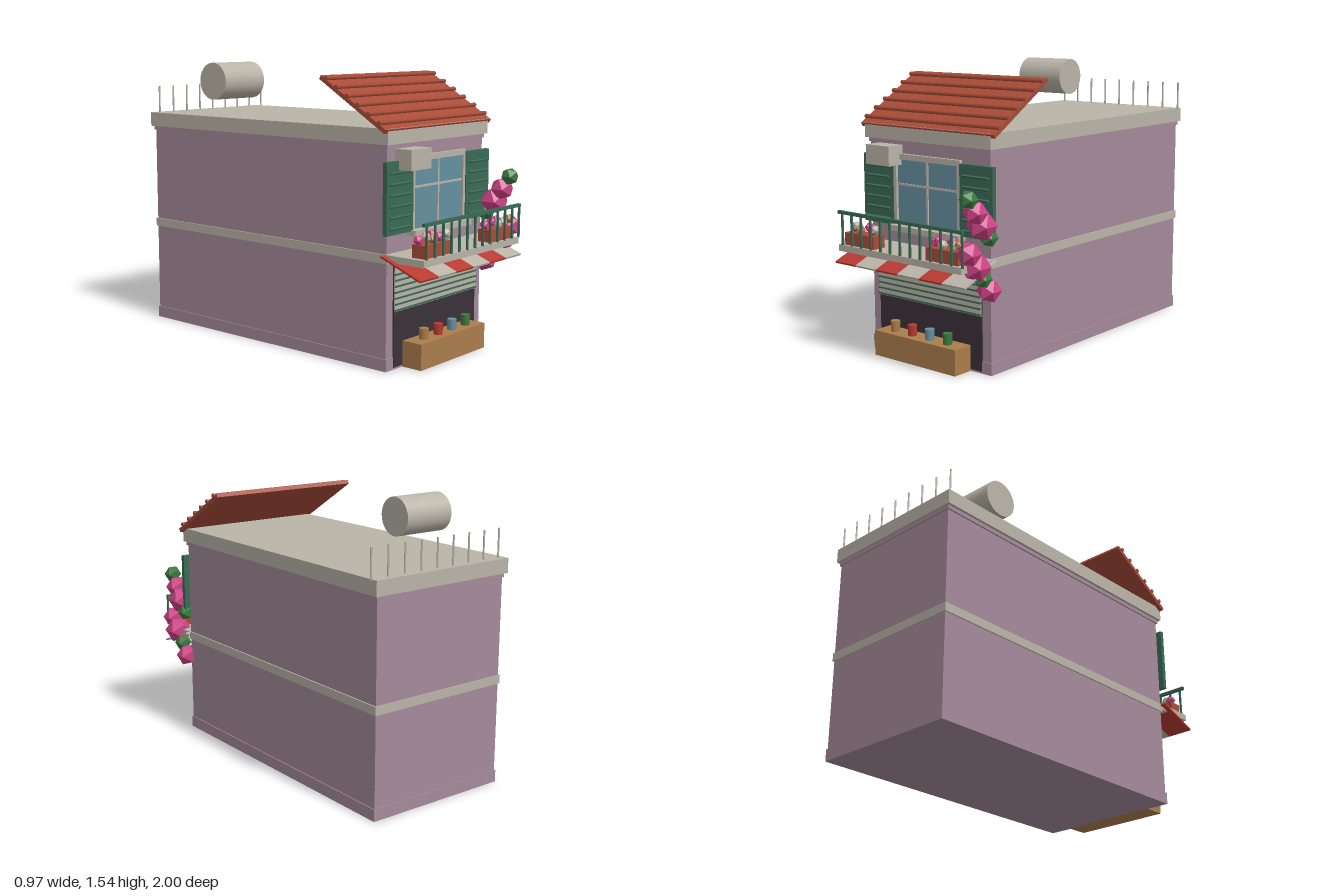
import * as THREE from 'three';

export function createModel() {
  const root = new THREE.Group();
  root.name = 'townhouse';

  const mat = (name, color) => {
    const m = new THREE.MeshStandardMaterial({ color });
    m.name = name;
    return m;
  };
  const wall = mat('mauve plaster', 0xa58a9a);
  const stone = mat('pale stone', 0xbab4a8);
  const tile = mat('terracotta', 0xa84c38);
  const green = mat('shutter green', 0x3a6a56);
  const glass = mat('window glass', 0x6490a0);
  const dark = mat('shop dark', 0x3a323a);
  const wood = mat('wood', 0xab7d4c);
  const pink = mat('blossom pink', 0xce4286);
  const leaf = mat('leaf green', 0x3a7a3e);
  const red = mat('awning red', 0xb83a32);

  const add = (name, geo, m, x, y, z, parent = root) => {
    const mesh = new THREE.Mesh(geo, m);
    mesh.name = name;
    mesh.position.set(x, y, z);
    parent.add(mesh);
    return mesh;
  };
  // box given by its limits on each axis
  const box = (name, m, x0, x1, y0, y1, z0, z1, parent = root) =>
    add(name, new THREE.BoxGeometry(x1 - x0, y1 - y0, z1 - z0), m,
      (x0 + x1) / 2, (y0 + y1) / 2, (z0 + z1) / 2, parent);
  const group = (name, parent = root) => {
    const g = new THREE.Group();
    g.name = name;
    parent.add(g);
    return g;
  };

  // building shell
  box('walls', wall, -0.44, 0.404, 0, 1.17, -0.982, 0.757);
  box('plinth', wall, -0.446, 0.41, 0, 0.065, -0.987, 0.763);
  box('floorBand', stone, -0.448, 0.412, 0.56, 0.607, -0.988, 0.766);
  box('corniceTrim', wall, -0.448, 0.412, 1.138, 1.162, -0.988, 0.766);
  box('roofSlab', stone, -0.4625, 0.424, 1.16, 1.24, -1, 0.78);

  // tiled front canopy with ribs running across
  const canopy = group('tiledCanopy');
  canopy.position.set(-0.019, 1.355, 0.567);
  canopy.rotation.x = 0.546;
  add('canopySlab', new THREE.BoxGeometry(0.935, 0.022, 0.495), tile, 0, 0, 0, canopy);
  for (let i = 0; i < 6; i++) {
    const rib = add('canopyRib', new THREE.CylinderGeometry(0.012, 0.012, 0.943, 8), tile,
      0, 0.017, -0.21 + i * 0.081, canopy);
    rib.rotation.z = Math.PI / 2;
  }

  // rooftop tank and rods
  add('waterTank', new THREE.CylinderGeometry(0.105, 0.105, 0.308, 32), stone, -0.231, 1.433, -0.545)
    .rotation.z = Math.PI / 2;
  for (let i = 0; i < 9; i++) {
    add('roofRod', new THREE.CylinderGeometry(0.005, 0.005, 0.16, 6), stone,
      -0.427 + i * 0.1067, 1.315, -0.96);
  }

  // window
  const win = group('window');
  box('pane', glass, -0.235, 0.199, 0.7, 1.07, 0.755, 0.764, win);
  box('frameLeft', stone, -0.254, -0.233, 0.69, 1.09, 0.755, 0.778, win);
  box('frameRight', stone, 0.197, 0.217, 0.69, 1.09, 0.755, 0.778, win);
  box('frameTop', stone, -0.254, 0.217, 1.06, 1.09, 0.755, 0.778, win);
  box('mullion', stone, -0.024, -0.012, 0.7, 1.07, 0.76, 0.771, win);
  box('transom', stone, -0.235, 0.199, 0.922, 0.933, 0.76, 0.771, win);
  box('sill', stone, -0.27, 0.236, 0.68, 0.71, 0.755, 0.81, win);

  // louvred shutters
  for (const x of [-0.363, 0.329]) {
    const s = group('windowShutter');
    box('shutterPanel', green, x - 0.11, x + 0.11, 0.705, 1.075, 0.757, 0.782, s);
    for (let i = 0; i < 6; i++) {
      const y = 0.732 + i * 0.056;
      const slat = box('shutterSlat', green, x - 0.086, x + 0.086, y, y + 0.01, 0.777, 0.793, s);
      slat.rotation.x = 0.35;
    }
  }
  box('airConditioner', stone, -0.375, -0.205, 1.03, 1.135, 0.757, 0.858);

  // balcony with railing
  box('balconySlab', stone, -0.452, 0.42, 0.573, 0.608, 0.757, 0.997);
  const rail = group('railing');
  box('topRail', green, -0.452, 0.428, 0.774, 0.791, 0.983, 1, rail);
  for (let i = 0; i < 13; i++) {
    const x = -0.424 + i * 0.0707;
    box('baluster', green, x - 0.005, x + 0.005, 0.605, 0.78, 0.987, 0.997, rail);
  }

  // flower boxes
  const blooms = [pink, stone, wood, pink, pink, stone];
  for (const [x0, shift] of [[-0.42, 0], [0.168, 3]]) {
    const p = group('flowerBox');
    box('planter', tile, x0, x0 + 0.216, 0.607, 0.675, 0.9, 0.98, p);
    for (let i = 0; i < 6; i++) {
      add('flower', new THREE.IcosahedronGeometry(0.028, 0), blooms[(i + shift) % 6],
        x0 + 0.02 + i * 0.038, 0.695 + (i % 2) * 0.014, 0.925 + (i % 3) * 0.016, p);
    }
  }

  // hanging vine in two trailing runs: z, y, radius, material
  const vine = group('vine');
  const clumps = [
    [0.934, 0.934, 0.05, leaf], [0.886, 0.863, 0.066, pink],
    [0.838, 0.792, 0.08, pink], [0.786, 0.724, 0.05, leaf],
    [0.934, 0.665, 0.066, pink], [0.886, 0.593, 0.08, pink],
    [0.834, 0.523, 0.05, leaf], [0.786, 0.455, 0.066, pink],
  ];
  for (const [z, y, r, m] of clumps) {
    add(m === pink ? 'blossomClump' : 'leafClump', new THREE.IcosahedronGeometry(r, 0), m, 0.416, y, z, vine);
  }

  // striped awning
  const awning = group('awning');
  awning.position.set(-0.018, 0.554, 0.874);
  awning.rotation.x = 0.363;
  for (let i = 0; i < 6; i++) {
    add('awningStripe', new THREE.BoxGeometry(0.154, 0.01, 0.264), i % 2 ? stone : red,
      -0.385 + i * 0.154, 0, 0, awning);
  }

  // shop opening and half-lowered roller shutter
  box('shopOpening', dark, -0.385, 0.347, 0.01, 0.56, 0.755, 0.765);
  const roller = group('rollerShutter');
  box('rollerPanel', stone, -0.385, 0.347, 0.303, 0.56, 0.757, 0.772, roller);
  for (let i = 0; i < 7; i++) {
    const y = 0.306 + i * 0.031;
    box('rollerSeam', green, -0.385, 0.347, y, y + 0.009, 0.766, 0.776, roller);
  }

  // counter with jars
  box('counter', wood, -0.31, 0.27, 0, 0.138, 0.757, 0.885);
  [wood, red, glass, leaf].forEach((m, i) => {
    add('jar', new THREE.CylinderGeometry(0.026, 0.024, 0.058, 10), m, -0.21 + i * 0.126, 0.167, 0.827);
  });

  return root;
}
